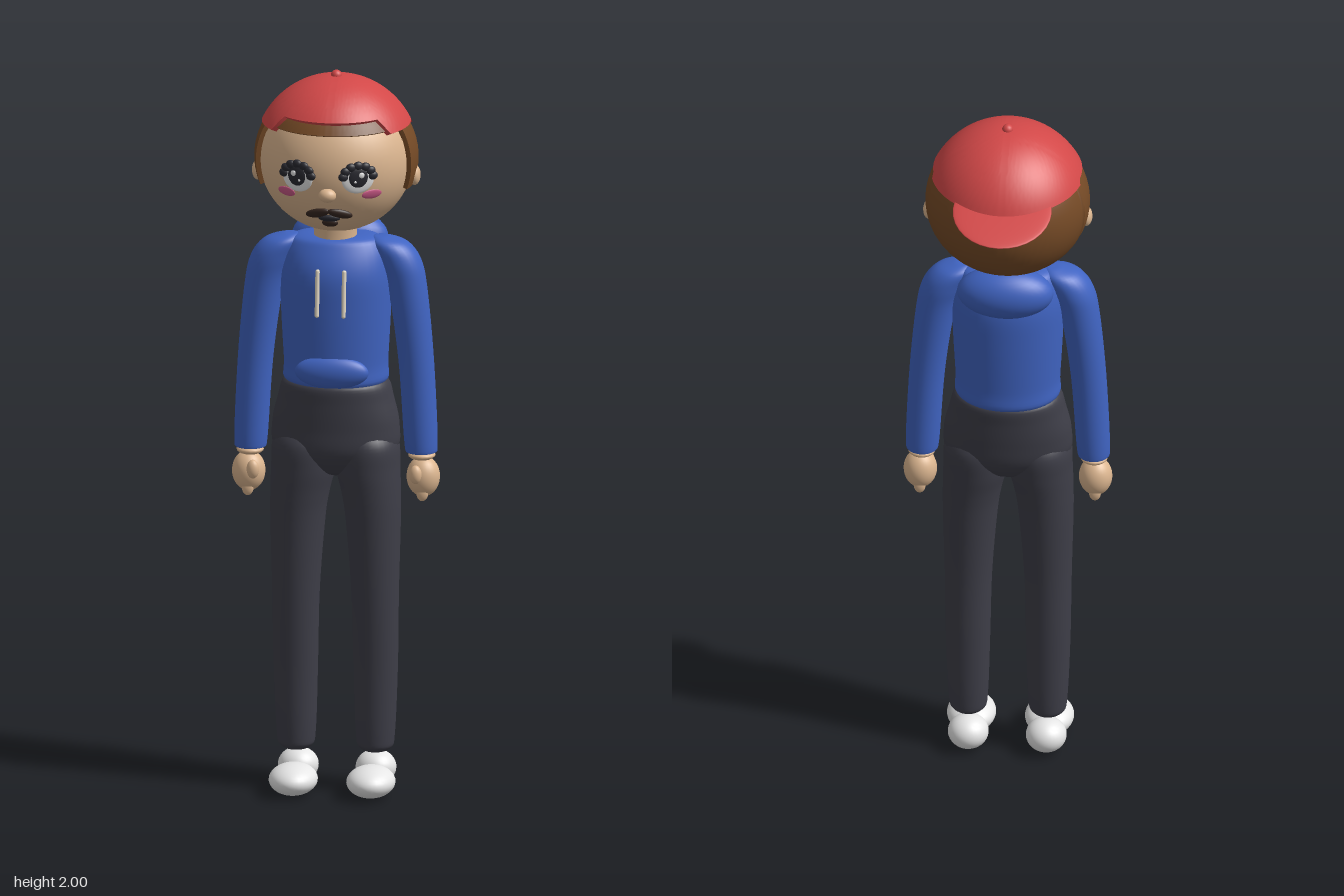
import * as THREE from 'three';
import { toCreasedNormals } from 'three/addons/utils/BufferGeometryUtils.js';

const mat = (name, color, extra = {}) => {
  const m = new THREE.MeshStandardMaterial({ color, ...extra });
  m.name = name;
  return m;
};

// Smooth vertical loft through elliptical sections [y, cx, cz, rx, rz], bottom to top
function loft(sections, sides = 36, steps = 6) {
  const curve = (pts) => new THREE.CatmullRomCurve3(pts, false, 'catmullrom', 0.5);
  const centre = curve(sections.map(([y, cx, cz]) => new THREE.Vector3(cx, y, cz)));
  const radius = curve(sections.map((s) => new THREE.Vector3(s[3], s[4], 0)));
  const rows = (sections.length - 1) * steps;
  const pos = [], idx = [];
  for (let i = 0; i <= rows; i++) {
    const c = centre.getPoint(i / rows), r = radius.getPoint(i / rows);
    for (let j = 0; j < sides; j++) {
      const a = (j / sides) * Math.PI * 2;
      pos.push(c.x + Math.max(r.x, 0) * Math.cos(a), c.y, c.z + Math.max(r.y, 0) * Math.sin(a));
      if (i === rows) continue;
      const p = i * sides + j, q = i * sides + (j + 1) % sides;
      idx.push(p, p + sides, q, q, p + sides, q + sides);
    }
  }
  return finish(pos, idx);
}

function finish(pos, idx) {
  const g = new THREE.BufferGeometry();
  g.setAttribute('position', new THREE.Float32BufferAttribute(pos, 3));
  g.setIndex(idx);
  g.computeVertexNormals();
  return g;
}

// Ellipsoid shell cut off at a lower edge; edge = [degrees from the front, height]
function shell([cx, cy, cz], [rx, ry, rz], edge) {
  const edgeY = (deg) => {
    const k = Math.max(1, edge.findIndex((e) => e[0] >= deg));
    const [a0, y0] = edge[k - 1], [a1, y1] = edge[k];
    return y0 + (y1 - y0) * (deg - a0) / (a1 - a0);
  };
  const cols = 180, rows = 20, pos = [], idx = [];
  for (let i = 0; i <= rows + 1; i++) {
    for (let j = 0; j < cols; j++) {
      const deg = j * 2 - 180, az = deg * Math.PI / 180;
      const end = Math.acos((edgeY(Math.abs(deg)) - cy) / ry);
      const th = end * Math.min(i / rows, 1), s = i > rows ? 0.92 : 1; // last row turns inward
      pos.push(cx + s * rx * Math.sin(th) * Math.sin(az), cy + s * ry * Math.cos(th),
        cz + s * rz * Math.sin(th) * Math.cos(az));
      if (i > rows) continue;
      const p = i * cols + j, q = i * cols + (j + 1) % cols;
      idx.push(p, p + cols, q, q, p + cols, q + cols);
    }
  }
  return toCreasedNormals(finish(pos, idx), 0.7);
}

export function createModel() {
  const model = new THREE.Group();
  model.name = 'standingFigure';
  const red = mat('cap red', 0xd24848), brown = mat('hair brown', 0x754a26);
  const skin = mat('skin', 0xdcb690), blue = mat('hoodie blue', 0x4064c2);
  const grey = mat('trouser grey', 0x3e3e48), white = mat('white', 0xe6e6e6);
  const dark = mat('dark', 0x292930), pink = mat('cheek pink', 0xcc5a88);
  const cord = mat('cord cream', 0xe2d8c4), beard = mat('beard brown', 0x352620);
  red.side = brown.side = THREE.DoubleSide;

  const add = (name, geo, m, parent = model) => {
    const mesh = new THREE.Mesh(geo, m);
    mesh.name = name;
    parent.add(mesh);
    return mesh;
  };
  const unit = new THREE.SphereGeometry(1, 32, 20), small = new THREE.SphereGeometry(1, 18, 12);
  const blob = (name, m, p, r, parent = model, geo = unit) => {
    const mesh = add(name, geo, m, parent);
    mesh.position.set(...p);
    mesh.scale.set(...r);
    return mesh;
  };

  // Head, hair and backwards cap
  const HC = [0, 1.76, 0.045], HR = [0.208, 0.203, 0.2];
  blob('head', skin, HC, HR, model, new THREE.SphereGeometry(1, 48, 32));
  add('hair', shell(HC, [0.221, 0.206, 0.207],
    [[0, 1.865], [70, 1.865], [72, 1.69], [106, 1.69], [110, 1.6], [180, 1.595]]), brown);
  add('cap', shell([0, 1.765, 0.045], [0.222, 0.22, 0.22],
    [[0, 1.9], [46, 1.9], [54, 1.86], [100, 1.86], [104, 1.848], [180, 1.84]]), red);
  blob('capButton', red, [0, 1.985, 0.045], [0.015, 0.015, 0.015], model, small);
  blob('capBrim', red, [0, 1.84, -0.135], [0.133, 0.008, 0.133]).rotation.x = -0.28;

  // Anchor on the face surface, facing outward
  const anchor = (name, x, y, lift = 0) => {
    const g = new THREE.Group();
    const u = x / HR[0], v = (y - HC[1]) / HR[1], w = Math.sqrt(1 - u * u - v * v);
    const n = new THREE.Vector3(u / HR[0], v / HR[1], w / HR[2]).normalize();
    g.position.set(x, y, HC[2] + HR[2] * w);
    g.lookAt(g.position.clone().add(n));
    g.position.addScaledVector(n, lift);
    g.name = name;
    model.add(g);
    return g;
  };

  blob('nose', skin, [0, 1.705, 0.243], [0.024, 0.019, 0.02], model, small);
  blob('goatee', beard, [0, 0, 0], [0.022, 0.014, 0.01], anchor('chinTuft', 0, 1.612), small);
  blob('mouth', dark, [0, 0, 0], [0.03, 0.011, 0.009], anchor('mouthAnchor', 0, 1.632, 0.002), small);

  // Trousers: hips, with legs overlapping them
  add('hips', loft([[0.87, 0, 0.06, 0, 0], [0.895, 0, 0.06, 0.09, 0.06], [0.95, 0, 0.058, 0.165, 0.098],
    [1.02, 0, 0.055, 0.172, 0.106], [1.09, 0, 0.054, 0.157, 0.11], [1.14, 0, 0.053, 0.141, 0.11],
    [1.15, 0, 0.053, 0.1, 0.08]]), grey);

  // Hoodie body, neck, hood and pocket
  add('hoodieBody', loft([[1.135, 0, 0.052, 0.06, 0.05], [1.14, 0, 0.052, 0.136, 0.108],
    [1.2, 0, 0.052, 0.141, 0.112], [1.35, 0, 0.052, 0.149, 0.117], [1.45, 0, 0.052, 0.15, 0.115],
    [1.52, 0, 0.05, 0.135, 0.09], [1.545, 0, 0.05, 0.1, 0.065], [1.55, 0, 0.05, 0, 0]]), blue);
  add('neck', loft([[1.5, 0, 0.07, 0.06, 0.048], [1.55, 0, 0.07, 0.058, 0.046], [1.61, 0, 0.07, 0.06, 0.048]]), skin);
  blob('hood', blue, [0, 1.515, -0.037], [0.13, 0.075, 0.07]).rotation.x = -0.25;
  blob('pocket', blue, [0, 1.185, 0.15], [0.1, 0.046, 0.032]);

  // Mirrored parts
  for (const s of [1, -1]) {
    const side = s > 0 ? 'left' : 'right';
    const at = (rows) => rows.map(([y, x, ...r]) => [y, s * x, ...r]);
    add(side + 'Leg', loft(at([[0.1, 0.107, 0.058, 0, 0], [0.115, 0.107, 0.058, 0.042, 0.042],
      [0.16, 0.107, 0.058, 0.053, 0.052], [0.35, 0.108, 0.06, 0.06, 0.058], [0.55, 0.107, 0.064, 0.064, 0.065],
      [0.75, 0.102, 0.063, 0.074, 0.077], [0.83, 0.096, 0.062, 0.08, 0.084], [0.9, 0.087, 0.06, 0.087, 0.092],
      [0.97, 0.085, 0.058, 0.085, 0.094], [1.02, 0.08, 0.056, 0.06, 0.07]])), grey);

    blob(side + 'Toe', white, [s * 0.105, 0.042, 0.14], [0.066, 0.042, 0.082]);
    blob(side + 'Heel', white, [s * 0.105, 0.052, 0.03], [0.055, 0.047, 0.055]);

    add(side + 'Sleeve', loft(at([[0.945, 0.23, 0.055, 0, 0], [0.95, 0.23, 0.055, 0.035, 0.035],
      [0.97, 0.23, 0.055, 0.045, 0.045], [1.2, 0.217, 0.055, 0.048, 0.047], [1.4, 0.194, 0.055, 0.053, 0.054],
      [1.48, 0.172, 0.055, 0.058, 0.058], [1.525, 0.145, 0.055, 0.052, 0.05], [1.543, 0.125, 0.055, 0.025, 0.025],
      [1.546, 0.12, 0.055, 0, 0]]), 28), blue);
    blob(side + 'Wrist', skin, [s * 0.232, 0.936, 0.055], [0.037, 0.014, 0.037], model, small);
    blob(side + 'Hand', skin, [s * 0.236, 0.876, 0.055], [0.045, 0.056, 0.044]);
    blob(side + 'Thumb', skin, [s * 0.22, 0.89, 0.095], [0.017, 0.026, 0.015], model, small);
    for (let i = 0; i < 4; i++) {
      blob(side + 'Finger', skin, [s * 0.236, 0.834, 0.031 + i * 0.016], [0.016, 0.022, 0.009], model, small);
    }

    // Hood cord
    const c = add(side + 'Cord', new THREE.CapsuleGeometry(0.006, 0.12, 4, 10), cord);
    c.position.set(s * 0.036, 1.41, 0.174);
    c.rotation.x = -0.13;

    blob(side + 'Ear', skin, [s * 0.212, 1.715, 0.048], [0.016, 0.028, 0.024], model, small);

    // Eye: white, iris, glints and an arch of lashes
    const eye = anchor(side + 'Eye', s * 0.08, 1.752, 0.003);
    blob('eyeWhite', white, [0, 0, 0], [0.045, 0.041, 0.008], eye);
    blob('iris', dark, [0, 0.004, 0.004], [0.028, 0.029, 0.007], eye);
    blob('glint', white, [s * 0.008, 0.012, 0.01], [0.008, 0.008, 0.003], eye, small);
    blob('lowerGlint', white, [-s * 0.009, -0.006, 0.009], [0.004, 0.004, 0.003], eye, small);
    for (let i = 0; i <= 6; i++) {
      const a = Math.PI * (0.02 + i * 0.16);
      blob('lash', dark, [0.041 * Math.cos(a), 0.006 + 0.031 * Math.sin(a), 0.002],
        [0.014, 0.012, 0.009], eye, small);
    }

    blob('cheek', pink, [0, 0, 0], [0.03, 0.014, 0.004], anchor(side + 'Cheek', s * 0.115, 1.702), small);
    const tache = anchor(side + 'Moustache', s * 0.03, 1.648, 0.002);
    blob('moustacheHalf', beard, [0, 0, 0], [0.036, 0.014, 0.01], tache, small).rotation.z = -s * 0.3;
  }
  return model;
}
